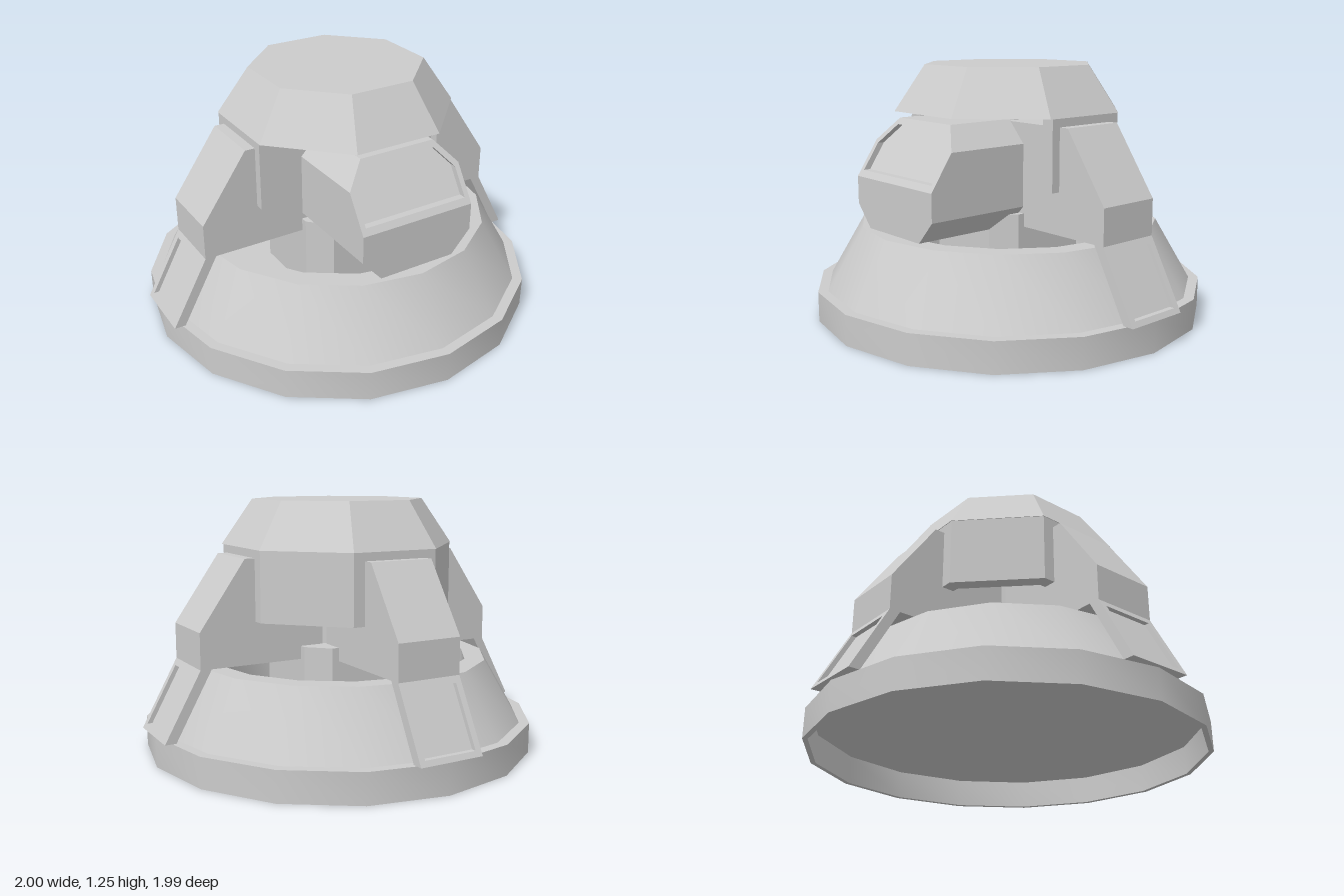
import * as THREE from 'three';
import { toCreasedNormals } from 'three/addons/utils/BufferGeometryUtils.js';

const grey = new THREE.MeshStandardMaterial({ color: 0xcccccc, flatShading: true });
const smooth = new THREE.MeshStandardMaterial({ color: 0xcccccc, side: THREE.DoubleSide });
const thin = new THREE.MeshStandardMaterial({ color: 0xcccccc, flatShading: true, side: THREE.DoubleSide });

const points = (list) => list.map(([x, y]) => new THREE.Vector2(x, y));
const outline = (list) => new THREE.Shape(points(list));
const extrude = (shape, depth) => new THREE.ExtrudeGeometry(shape, { depth, bevelEnabled: false });

function part(name, geometry, material = grey) {
  const mesh = new THREE.Mesh(geometry, material);
  mesh.name = name;
  return mesh;
}

// Shift z of each vertex by a rule
function shiftZ(geometry, rule) {
  const p = geometry.attributes.position;
  for (let i = 0; i < p.count; i++) p.setZ(i, p.getZ(i) + rule(p.getY(i), p.getZ(i)));
  geometry.computeVertexNormals();
  return geometry;
}

// Right and left halves of an outline from its right half
const mirrored = (half) => [...half, ...half.map(([x, y]) => [-x, y]).reverse()];

// Square prism with cut corners, standing upright
function cutPrism(half, cut, y0, y1) {
  const c = half - cut;
  const shape = outline(mirrored([[c, -half], [half, -c], [half, c], [c, half]]));
  return extrude(shape, y1 - y0).rotateX(-Math.PI / 2).translate(0, y0, 0);
}

// Sixteen-sided base: open foot ring, sloped shell and sunken well
function createBase() {
  const profile = points([
    [0, 0.145], [0.965, 0.145], [0.965, 0], [0.99, 0], [0.99, 0.15], [0.94, 0.15],
    [0.76, 0.46], [0.66, 0.46], [0.66, 0.16], [0, 0.16],
  ]);
  const geometry = toCreasedNormals(new THREE.LatheGeometry(profile, 16), 0.6);
  return part('base', geometry, smooth);
}

// Arm pointing along +z, with a framed sloping foot
function createArm(name, angle) {
  const arm = new THREE.Group();
  arm.name = name;
  const w = 0.165;
  const profile = outline([[0.18, 0.485], [0.82, 0.485], [0.82, 0.66], [0.59, 0.99], [0.18, 0.99]]);
  arm.add(part('armBody', extrude(profile, 2 * w).rotateY(-Math.PI / 2).translate(w, 0, 0)));

  const slope = (y) => 0.765 + (0.485 - y) * 0.55;
  const frame = outline([[-w, 0.155], [w, 0.155], [w, 0.485], [-w, 0.485]]);
  const opening = [[-0.135, 0.18], [0.135, 0.18], [0.135, 0.455], [-0.135, 0.455]];
  frame.holes.push(new THREE.Path(points(opening)));
  arm.add(part('footFrame', shiftZ(extrude(frame, 0.055), slope)));
  const panel = new THREE.ShapeGeometry(outline(opening)).translate(0, 0, 0.03);
  arm.add(part('footPanel', shiftZ(panel, slope), thin));
  arm.rotation.y = angle;
  return arm;
}

// Front cabin: upright lower half, raked upper half with a recessed window
function createCabin() {
  const cabin = new THREE.Group();
  cabin.name = 'cabin';
  const back = 0.17, front = 0.715;
  const lower = outline(mirrored([[0.2, 0.475], [0.3, 0.585], [0.3, 0.72]]));
  cabin.add(part('cabinLower', extrude(lower, front - back).translate(0, 0, back)));

  const rake = (y, z) => (z > 0.4 ? -(y - 0.72) * 0.67 : 0);
  const upper = outline(mirrored([[0.3, 0.72], [0.3, 0.89], [0.2, 1.0]]));
  const opening = mirrored([[0.275, 0.75], [0.275, 0.875], [0.19, 0.97]]);
  upper.holes.push(new THREE.Path(points(opening)));
  const shell = extrude(upper, front - back).translate(0, 0, back);
  cabin.add(part('cabinUpper', shiftZ(shell, rake)));
  const pane = new THREE.ShapeGeometry(outline(opening)).translate(0, 0, front - 0.035);
  cabin.add(part('windowPane', shiftZ(pane, rake), thin));
  return cabin;
}

// Thick wall under the dome, open at the front
function createSkirt() {
  const ring = (a) => {
    const b = a * Math.tan(Math.PI / 8);
    return [[a, -0.21], [a, b], [b, a], [-b, a], [-a, b], [-a, -0.21]];
  };
  const shape = outline([...ring(0.54), ...ring(0.475).reverse()]);
  return part('skirt', extrude(shape, 0.34).rotateX(-Math.PI / 2).translate(0, 0.69, 0));
}

export function createModel() {
  const model = new THREE.Group();
  model.name = 'domedTurret';

  model.add(createBase());
  model.add(part('pedestal', cutPrism(0.3, 0.1, 0.16, 0.55)));
  model.add(part('core', cutPrism(0.19, 0.06, 0.5, 1.03)));

  // Eight-sided dome with flat top
  const k = 1 / Math.cos(Math.PI / 8);
  const dome = new THREE.CylinderGeometry(0.4 * k, 0.543 * k, 0.225, 8).rotateY(Math.PI / 8);
  model.add(part('dome', dome.translate(0, 1.1425, 0)));
  model.add(createSkirt());
  model.add(createCabin());

  // Arms at the left, back and right
  ['leftArm', 'backArm', 'rightArm'].forEach((name, i) => {
    model.add(createArm(name, (Math.PI / 2) * (i + 1)));
  });
  return model;
}
